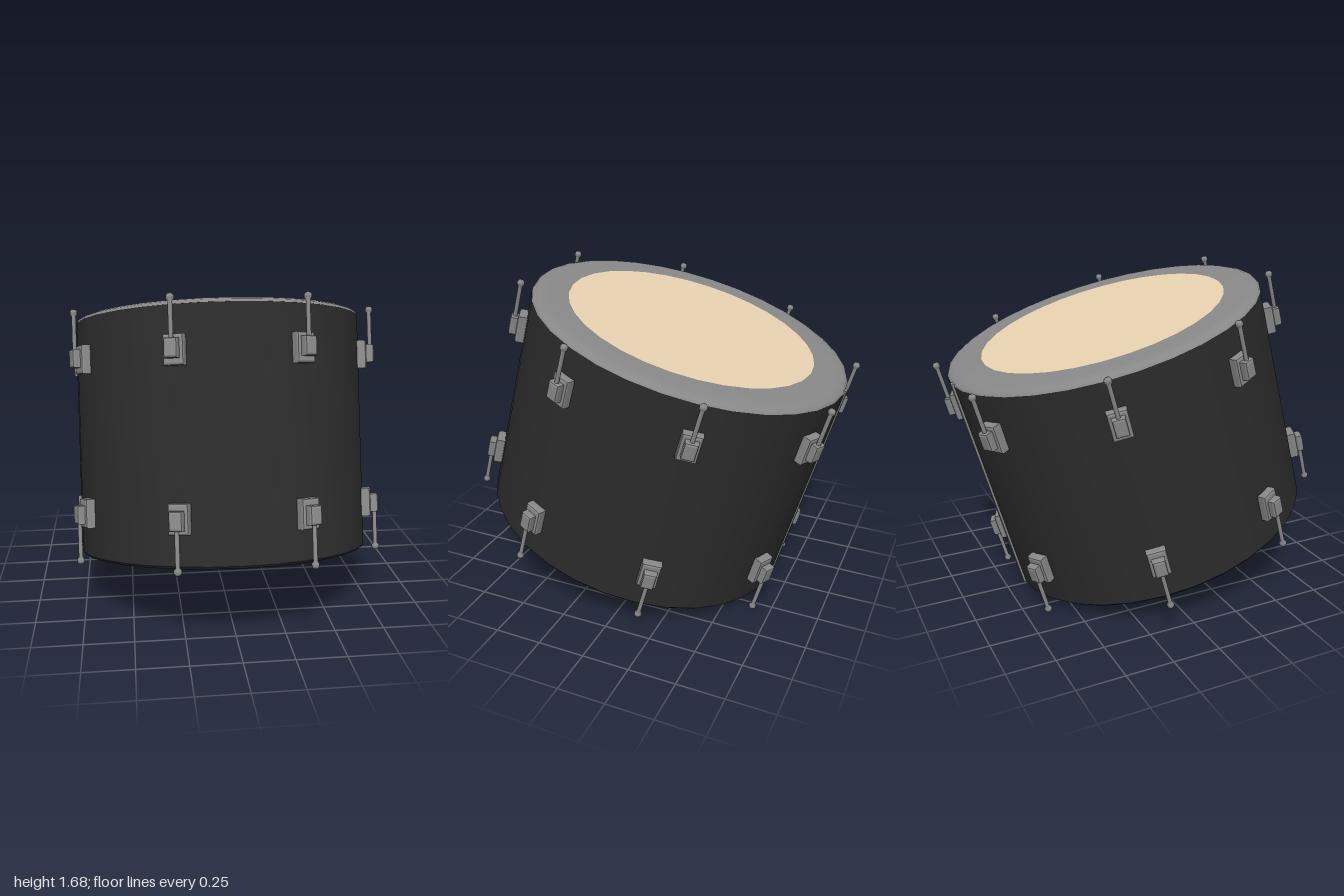
import * as THREE from 'three';

const RX = 0.765, RZ = 0.85, HALF = 0.618; // oval radii and half height of the drum
const TILT = -0.268, TWIST = 0.026;

const shellMat = new THREE.MeshStandardMaterial({ color: 0x2c2c2c });
const metalMat = new THREE.MeshStandardMaterial({ color: 0x888888 });
const skinMat = new THREE.MeshStandardMaterial({ color: 0xe8d2b0 });

// Oval surface of revolution from [radius, height] pairs
function ovalLathe(name, profile, material) {
  const geo = new THREE.LatheGeometry(profile.map(([r, y]) => new THREE.Vector2(r, y)), 32);
  geo.scale(1, 1, RZ / RX);
  geo.computeVertexNormals();
  const mesh = new THREE.Mesh(geo, material);
  mesh.name = name;
  return mesh;
}

// Rectangular block with chamfered front edges, its back on z = 0
function bevelBlock(w, h, d, bevel) {
  const x = w / 2 - bevel, y = h / 2 - bevel;
  const shape = new THREE.Shape([[-x, -y], [x, -y], [x, y], [-x, y]].map(p => new THREE.Vector2(...p)));
  const geo = new THREE.ExtrudeGeometry(shape, {
    depth: d - 2 * bevel, bevelThickness: bevel, bevelSize: bevel, bevelSegments: 2,
  });
  return geo.translate(0, 0, bevel);
}

const plateGeo = bevelBlock(0.1, 0.145, 0.055, 0.012);
const blockGeo = bevelBlock(0.066, 0.092, 0.05, 0.012);
const rodGeo = new THREE.LatheGeometry([
  [0, 0], [0.011, 0], [0.011, 0.205], [0.019, 0.215], [0.019, 0.228], [0.012, 0.238], [0, 0.24],
].map(p => new THREE.Vector2(...p)), 10);

// Lug with its tension rod, facing +z, rod pointing up
function makeLug() {
  const lug = new THREE.Group();
  const add = (name, geo, y, z) => {
    const mesh = new THREE.Mesh(geo, metalMat);
    mesh.name = name;
    mesh.position.set(0, y, z);
    lug.add(mesh);
  };
  add('lugPlate', plateGeo, 0, -0.012);
  add('lugBlock', blockGeo, 0.005, 0.032);
  add('tensionRod', rodGeo, 0.012, 0.06);
  return lug;
}

export function createModel() {
  const model = new THREE.Group();
  model.name = 'drum';
  const body = new THREE.Group();
  body.name = 'tiltedBody';
  body.position.y = 0.845;
  body.rotation.x = TILT;
  model.add(body);

  // Shell, hoops and heads
  const h = HALF;
  body.add(
    ovalLathe('shell', [[RX, -h + 0.012], [RX, h - 0.022]], shellMat),
    ovalLathe('topHoop', [[RX, h - 0.022], [0.757, h - 0.008], [0.735, h + 0.002], [0.7, h + 0.006], [0.595, h + 0.007]], metalMat),
    ovalLathe('topHead', [[0.595, h + 0.007], [0, h + 0.007]], skinMat),
    ovalLathe('bottomHoop', [[0.708, -h - 0.008], [0.755, -h], [RX, -h + 0.012]], shellMat),
    ovalLathe('bottomHead', [[0, -h - 0.008], [0.708, -h - 0.008]], skinMat),
  );

  // Seam strip down the back
  const seam = new THREE.Mesh(new THREE.BoxGeometry(0.035, 2 * h - 0.02, 0.014), metalMat);
  seam.name = 'seamStrip';
  seam.position.set(-RX * Math.sin(TWIST), 0, -RZ);
  body.add(seam);

  // Eight lugs near each hoop, the lower row turned upside down
  for (const side of [1, -1]) {
    for (let i = 0; i < 8; i++) {
      const a = (i + 0.5) * Math.PI / 4 + TWIST;
      const holder = new THREE.Group();
      holder.name = side > 0 ? 'upperLug' : 'lowerLug';
      holder.position.set(RX * Math.sin(a), side * 0.385, RZ * Math.cos(a));
      holder.rotation.y = Math.atan2(Math.sin(a) / RX, Math.cos(a) / RZ);
      const lug = makeLug();
      if (side < 0) lug.rotation.z = Math.PI;
      holder.add(lug);
      body.add(holder);
    }
  }
  return model;
}
